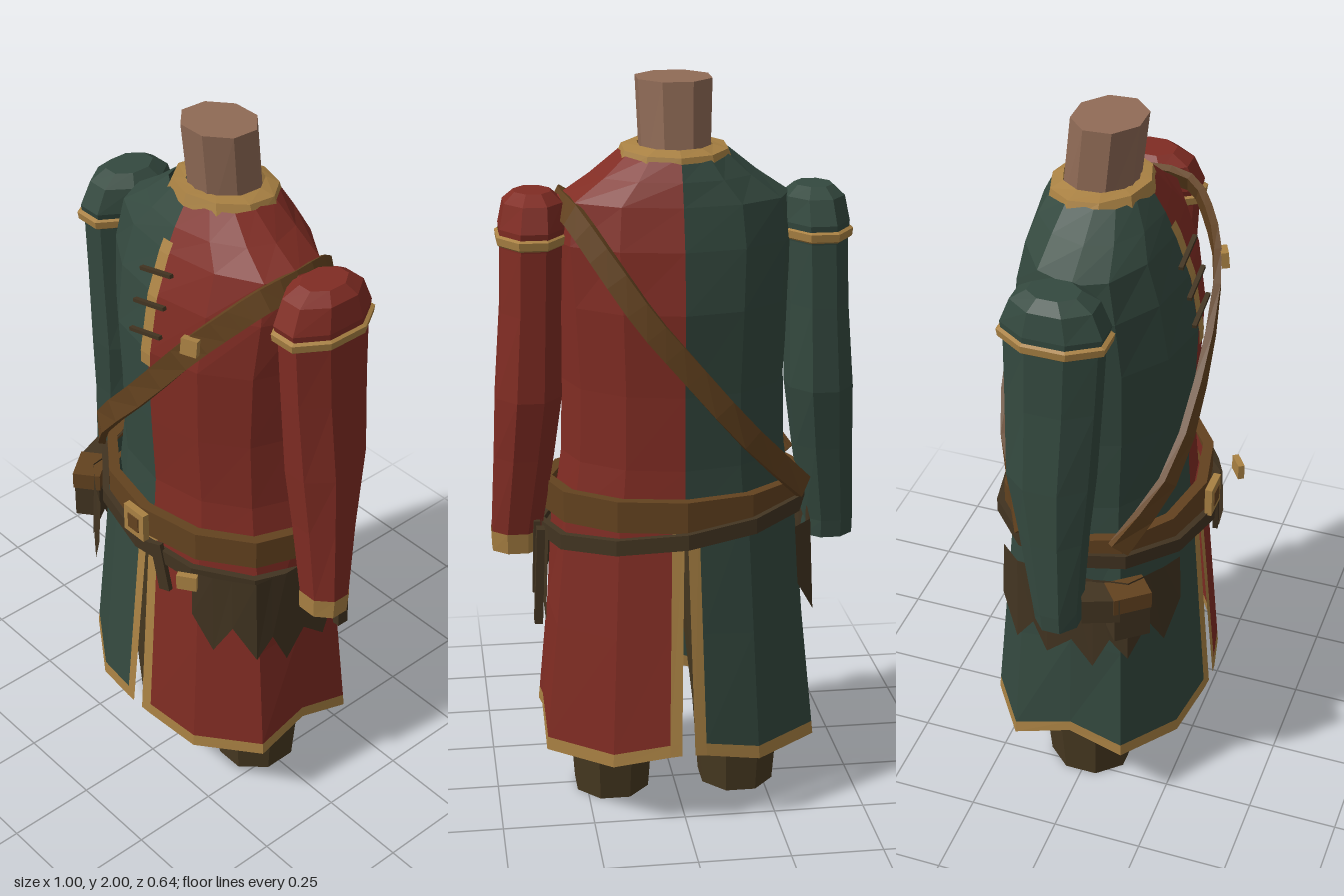
import * as THREE from 'three';

const paint = (name, color) => {
  const m = new THREE.MeshStandardMaterial({ color, flatShading: true, side: THREE.DoubleSide });
  m.name = name;
  return m;
};

// Ring of points around y, running from the front (+z) towards +x; k tilts it by z, kx by x
function ring(y, hw, zf, zb, { n = 12, a0 = 0, a1 = Math.PI * 2, cx = 0, cz = 0, k = 0, kx = 0, closed = true } = {}) {
  const pts = [];
  for (let i = 0; i < n + (closed ? 0 : 1); i++) {
    const a = a0 + (a1 - a0) * i / n;
    const x = hw * Math.sin(a), c = Math.cos(a), z = c > 0 ? zf * c : -zb * c;
    pts.push([x + cx, y + k * z + kx * x, z + cz]);
  }
  return pts;
}

// Skin between rings given from bottom to top
function loft(rings, { closed = true, capStart = false, capEnd = false } = {}) {
  const pos = [], n = rings[0].length;
  const tri = (a, b, c) => pos.push(...a, ...b, ...c);
  for (let i = 0; i + 1 < rings.length; i++)
    for (let j = 0; j < (closed ? n : n - 1); j++) {
      const k = (j + 1) % n, [p, q] = [rings[i], rings[i + 1]];
      tri(p[j], p[k], q[k]);
      tri(p[j], q[k], q[j]);
    }
  const end = rings[rings.length - 1];
  for (let j = 1; j + 1 < n; j++) {
    if (capStart) tri(rings[0][0], rings[0][j + 1], rings[0][j]);
    if (capEnd) tri(end[0], end[j], end[j + 1]);
  }
  const g = new THREE.BufferGeometry();
  g.setAttribute('position', new THREE.Float32BufferAttribute(pos, 3));
  g.computeVertexNormals();
  return g;
}

// Flat strap along a curve, facing away from the body axis
function strap(points, width, thick, steps) {
  const curve = new THREE.CatmullRomCurve3(points.map(p => new THREE.Vector3(...p)));
  const rings = [];
  for (let i = 0; i <= steps; i++) {
    const p = curve.getPoint(i / steps), T = curve.getTangent(i / steps);
    const N = new THREE.Vector3(p.x, Math.max(0, p.y - 1.6) * 2, p.z * 2.2);
    N.addScaledVector(T, -N.dot(T)).normalize();
    const B = T.clone().cross(N);
    rings.push([[1, -1], [1, 1], [-1, 1], [-1, -1]].map(([u, v]) =>
      p.clone().addScaledVector(N, u * thick / 2).addScaledVector(B, v * width / 2).toArray()));
  }
  return loft(rings, { capStart: true, capEnd: true });
}

const lerp = (a, b, t) => a.map((v, i) => v + (b[i] - v) * t);

export function createModel() {
  const group = new THREE.Group();
  const red = paint('red cloth', 0x802c23), green = paint('green cloth', 0x34493f);
  const gold = paint('gold trim', 0xa98143), leather = paint('belt leather', 0x63421f);
  const dark = paint('dark leather', 0x423421), trousers = paint('trouser brown', 0x473921);
  const skin = paint('skin', 0x906b56);
  const add = (name, geo, mat, p = [0, 0, 0], r = [0, 0, 0]) => {
    const m = new THREE.Mesh(geo, mat);
    m.name = name;
    m.position.set(...p);
    m.rotation.set(...r);
    group.add(m);
    return m;
  };
  const box = (name, mat, size, p, r) => add(name, new THREE.BoxGeometry(...size), mat, p, r);

  // Neck and collar
  const oct = { n: 8, a0: Math.PI / 8, a1: Math.PI * 17 / 8 };
  add('neck', loft([ring(1.74, 0.094, 0.097, -0.097, { ...oct, cz: -0.036 }),
    ring(1.995, 0.104, 0.097, -0.097, { ...oct, cz: -0.008, k: 0.04 })], { capEnd: true }), skin);
  add('collar', loft([
    ring(1.772, 0.162, 0.14, -0.145, { n: 10, cz: -0.03, k: 0.2 }),
    ring(1.82, 0.142, 0.13, -0.13, { n: 10, cz: -0.03, k: 0.09 }),
    ring(1.828, 0.1, 0.1, -0.1, { n: 10, cz: -0.03, k: 0.04 })]), gold);

  // Coat body: y, half width, front z, back z
  const body = [[0.86, 0.325, 0.225, -0.245], [1.0, 0.305, 0.215, -0.238], [1.2, 0.3, 0.225, -0.24],
    [1.42, 0.312, 0.232, -0.25], [1.58, 0.325, 0.205, -0.232], [1.69, 0.31, 0.165, -0.205],
    [1.75, 0.22, 0.137, -0.185], [1.81, 0.145, 0.1, -0.155]];

  // Skirt edge points of one half, front slit to back slit
  const hem = [[0.018, 0.22, 0.3], [0.05, 0.215, 0.296], [0.2, 0.18, 0.262], [0.37, 0.2, 0.15], [0.37, 0.25, 0],
    [0.37, 0.19, -0.165], [0.2, 0.18, -0.28], [0.05, 0.215, -0.313], [0.018, 0.22, -0.318]];
  const waist = [[0.003, 0.9, 0.24], [0.035, 0.9, 0.238], [0.17, 0.9, 0.208], [0.3, 0.9, 0.125], [0.33, 0.9, 0],
    [0.3, 0.9, -0.135], [0.17, 0.9, -0.222], [0.035, 0.9, -0.25], [0.003, 0.9, -0.254]];

  // Sleeve rows: y, centre x, x radius, centre z, z radius
  const sleeve = [[0.73, 0.43, 0.068, 0, 0.06], [0.78, 0.43, 0.068, -0.003, 0.063], [1.0, 0.407, 0.08, -0.018, 0.088],
    [1.17, 0.392, 0.088, -0.028, 0.112], [1.4, 0.382, 0.08, -0.022, 0.12], [1.57, 0.377, 0.08, -0.018, 0.125],
    [1.62, 0.374, 0.086, -0.016, 0.135], [1.685, 0.37, 0.077, -0.018, 0.108], [1.712, 0.37, 0.048, -0.02, 0.065]];
  const armRing = (s, [y, cx, rx, cz, rz]) => ring(y, rx * 1.06, rz * 1.06, -rz * 1.06, { ...oct, cx: s * cx, cz });

  for (const s of [1, -1]) {
    const side = s > 0 ? 'left' : 'right', cloth = s > 0 ? red : green;
    const half = { n: 6, a0: s > 0 ? 0 : Math.PI, a1: s > 0 ? Math.PI : Math.PI * 2, closed: false };
    add(side + 'CoatBody', loft(body.map(([y, w, f, b]) => ring(y, w, f, b, half)), { closed: false }), cloth);

    // Skirt panel with gold hem and slit edges
    const panel = (from, to, ts) => loft(ts.map(t => {
      const row = hem.slice(from, to + 1).map((p, i) => lerp(p, waist[from + i], t)).map(([x, y, z]) => [x * s, y, z]);
      return s > 0 ? row : row.reverse();
    }), { closed: false });
    add(side + 'Skirt', panel(1, 7, [0.05, 0.5, 1]), cloth);
    add(side + 'HemTrim', panel(0, 8, [0, 0.05]), gold);
    add(side + 'FrontSlitTrim', panel(0, 1, [0.05, 1]), gold);
    add(side + 'BackSlitTrim', panel(7, 8, [0.05, 1]), gold);

    // Sleeve, shoulder band and cuff
    add(side + 'Sleeve', loft(sleeve.slice(s > 0 ? 1 : 0).map(r => armRing(s, r)), { capStart: true, capEnd: true }), cloth);
    if (s > 0) {
      add('leftCuff', loft([[0.725, 0.43, 0.068, 0, 0.06], [0.783, 0.43, 0.07, -0.003, 0.065]].map(r => armRing(s, r))), gold);
      add('leftCuffEnd', loft([[0.729, 0.43, 0.01, 0, 0.01], [0.73, 0.43, 0.066, 0, 0.058]].map(r => armRing(s, r)), { capStart: true }), red);
    }
    add(side + 'ShoulderBand', loft([[1.575, 0.377, 0.084, -0.016, 0.132], [1.58, 0.377, 0.09, -0.016, 0.14],
      [1.6, 0.377, 0.092, -0.016, 0.143], [1.605, 0.377, 0.084, -0.016, 0.132]].map(r => armRing(s, r))), gold);

    // Leg
    add(side + 'Leg', loft([[0, 0.178, 0.102, -0.003, 0.112], [0.22, 0.178, 0.118, -0.005, 0.13],
      [0.64, 0.152, 0.14, -0.01, 0.165], [0.85, 0.15, 0.15, -0.01, 0.18]].map(r => armRing(s, r)), { capStart: true }), trousers);

    // Ragged cloth hanging from the belt: x, lower y, z
    const rag = [[0.2, 0.68, 0.262], [0.255, 0.57, 0.235], [0.3, 0.66, 0.205], [0.355, 0.56, 0.165], [0.362, 0.62, 0.115],
      [0.372, 0.52, 0.07], [0.372, 0.6, 0.01], [0.376, 0.54, -0.06], [0.37, 0.63, -0.1], [0.365, 0.56, -0.15]];
    if (s < 0) rag.push([0.31, 0.66, -0.21]);
    const lower = rag.map(([x, y, z]) => [x * s, y, z]), upper = lower.map(([x, , z]) => [x * 0.97, 0.82, z * 0.98]);
    add(side + 'RaggedCloth', loft([lower, upper], { closed: false }), dark);
  }

  // Belt and the slanted lower strap
  const band = (y0, y1, w, f, b, th, kx) => loft([[y0, th], [y0, 0], [y1, 0], [y1, th]].map(([y, d]) =>
    ring(y, w - d, f - d, b + d, { n: 12, kx })));
  add('belt', band(0.845, 0.93, 0.36, 0.268, -0.288, 0.03, -0.01), leather);
  add('lowerStrap', band(0.808, 0.85, 0.372, 0.292, -0.312, 0.018, -0.12), dark);
  box('buckle', gold, [0.08, 0.085, 0.02], [0, 0.892, 0.285]);
  box('buckleCentre', leather, [0.042, 0.045, 0.008], [0, 0.892, 0.294]);
  box('strapBuckle', gold, [0.055, 0.045, 0.018], [0.22, 0.828, 0.295], [0, 0.6, 0]);
  box('strapEnd', dark, [0.035, 0.15, 0.015], [0.085, 0.782, 0.272], [0, 0.2, 0.2]);

  // Shoulder strap and its buckle
  add('shoulderStrap', strap([[-0.335, 0.92, 0.13], [-0.2, 1.09, 0.228], [0, 1.31, 0.25], [0.17, 1.515, 0.228],
    [0.25, 1.61, 0.175], [0.295, 1.665, 0.115], [0.3, 1.675, 0], [0.27, 1.655, -0.12], [0.2, 1.555, -0.21],
    [0.1, 1.41, -0.263], [0, 1.29, -0.275], [-0.16, 1.1, -0.25], [-0.335, 0.91, -0.14]], 0.062, 0.02, 26), leather);
  box('shoulderStrapBuckle', gold, [0.045, 0.045, 0.02], [0.18, 1.535, 0.243], [-0.1, 0.4, 0]);

  // Front placket with stitches
  const placket = [[1.385, 0.24], [1.42, 0.24], [1.58, 0.213], [1.69, 0.173], [1.72, 0.158]];
  add('placket', loft(placket.map(([y, z]) => [[-0.018, y, z], [0.018, y, z]]), { closed: false }), gold);
  [[1.645, 0.198], [1.56, 0.222], [1.48, 0.237]].forEach(([y, z]) =>
    box('stitch', dark, [0.12, 0.01, 0.012], [0, y, z], [0, 0, 0.24]));

  // Pouches on the right hip, sheath and tool on the left
  box('pouch', dark, [0.1, 0.14, 0.07], [-0.355, 0.74, 0.165], [0, -0.9, 0]);
  box('pouchFlap', leather, [0.105, 0.05, 0.078], [-0.355, 0.79, 0.165], [0, -0.9, 0]);
  box('smallPouch', dark, [0.1, 0.075, 0.08], [-0.39, 0.775, 0.1], [0, -1.2, 0]);
  box('sheath', dark, [0.022, 0.27, 0.035], [0.378, 0.685, -0.12], [0, 0, 0.04]);
  box('tool', dark, [0.018, 0.2, 0.02], [0.382, 0.72, -0.07], [0.08, 0, 0.04]);
  return group;
}
